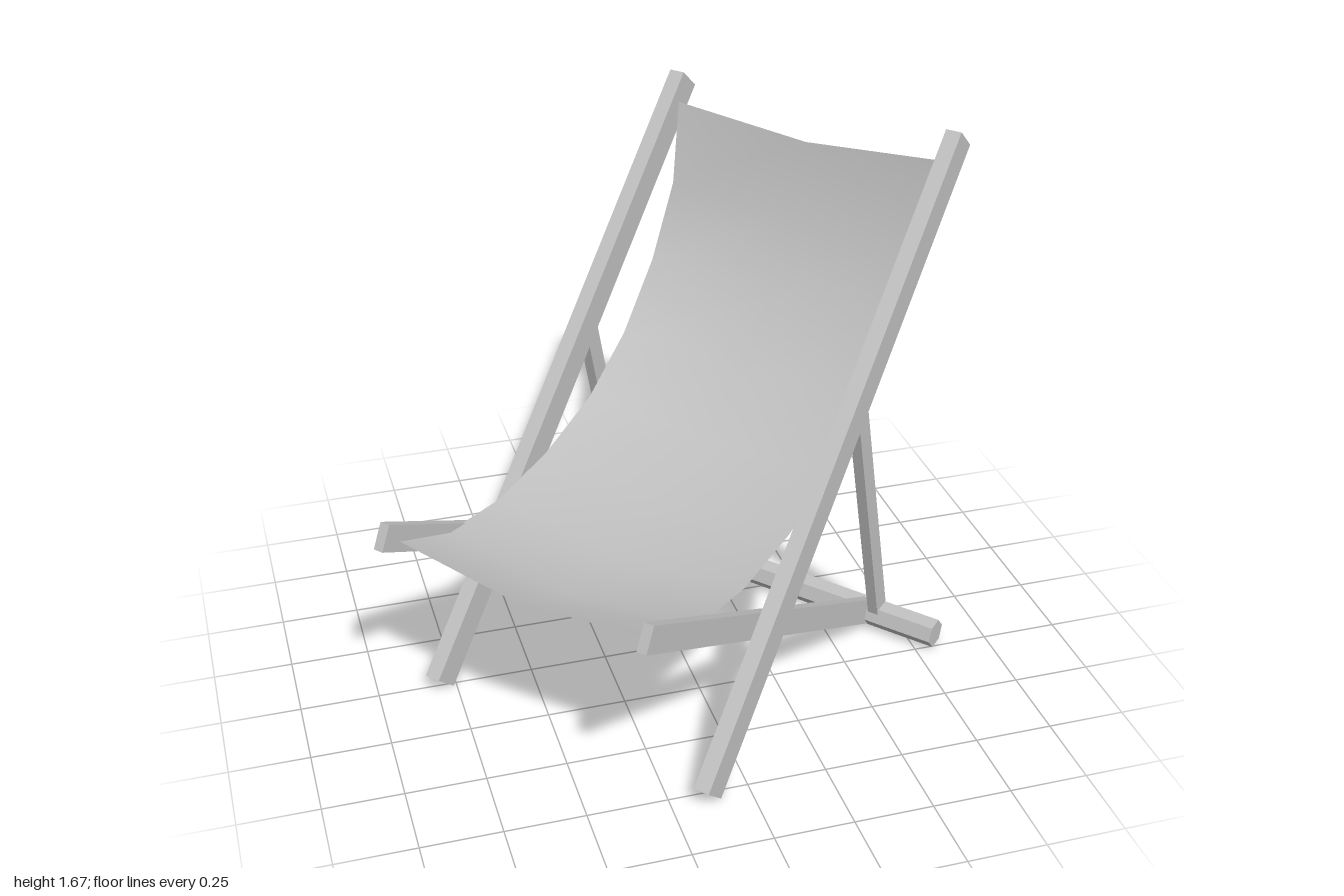
import * as THREE from 'three';

export function createModel() {
  const model = new THREE.Group();
  model.name = 'deckChair';
  const grey = new THREE.MeshStandardMaterial({ color: 0xc0c0c0, side: THREE.DoubleSide });
  grey.name = 'light grey';

  // The chair is built facing +z, then turned on its spot
  const chair = new THREE.Group();
  chair.name = 'chair';
  chair.rotation.y = THREE.MathUtils.degToRad(-49.4);
  model.add(chair);

  const add = (name, geometry) => {
    const mesh = new THREE.Mesh(geometry, grey);
    mesh.name = name;
    chair.add(mesh);
    return mesh;
  };

  // Straight beam between two [z, y] points at sideways position x
  const beam = (name, x, [z1, y1], [z2, y2], thick, depth) => {
    const length = Math.hypot(z2 - z1, y2 - y1);
    const mesh = add(name, new THREE.BoxGeometry(thick, depth, length));
    mesh.position.set(x, (y1 + y2) / 2, (z1 + z2) / 2);
    mesh.rotation.x = Math.atan2(y1 - y2, z2 - z1);
  };

  // Mirrored wooden frame
  for (const [side, label] of [[1, 'left'], [-1, 'right']]) {
    beam(label + 'BackRail', side * 0.51, [0.622, 0.031], [-0.816, 1.639], 0.053, 0.095);
    beam(label + 'SeatRail', side * 0.467, [0.88, 0.733], [-0.456, 0.05], 0.033, 0.085);
    beam(label + 'SupportLeg', side * 0.508, [-0.456, 0.05], [-0.235, 0.94], 0.036, 0.06);
  }

  // Six-sided crossbar on the ground at the back
  const bar = new THREE.CylinderGeometry(0.048, 0.048, 1.43, 6)
    .rotateZ(Math.PI / 2).rotateX(0.17).toNonIndexed();
  bar.computeVertexNormals();
  add('crossbar', bar).position.set(0.01, 0.052, -0.456);

  // Sling: [z, y, half width] along the side edges, sagging along the middle
  const edge = [
    [-0.748, 1.578, 0.482], [-0.675, 1.32, 0.457], [-0.546, 1.085, 0.457],
    [-0.37, 0.88, 0.457], [-0.165, 0.73, 0.457], [0.08, 0.637, 0.457],
    [0.34, 0.588, 0.457], [0.59, 0.6, 0.457], [0.82, 0.692, 0.457],
  ];
  const sag = 0.052;
  const sling = new THREE.PlaneGeometry(1, 1, 2, edge.length - 1);
  const pos = sling.attributes.position;
  edge.forEach(([z, y, half], i) => {
    const a = edge[Math.max(i - 1, 0)], b = edge[Math.min(i + 1, edge.length - 1)];
    const dz = b[0] - a[0], dy = b[1] - a[1], len = Math.hypot(dz, dy);
    for (let j = 0; j < 3; j++) {
      const drop = j === 1 ? sag : 0;
      pos.setXYZ(i * 3 + j, (j - 1) * half, y - drop * dz / len, z + drop * dy / len);
    }
    // The two hems hang straight down at the middle
    if (i === 0 || i === edge.length - 1) {
      pos.setXYZ(i * 3 + 1, 0, y - 0.046, z + (i === 0 ? -0.015 : 0.015));
    }
  });
  sling.computeVertexNormals();
  add('fabricSling', sling);

  return model;
}
